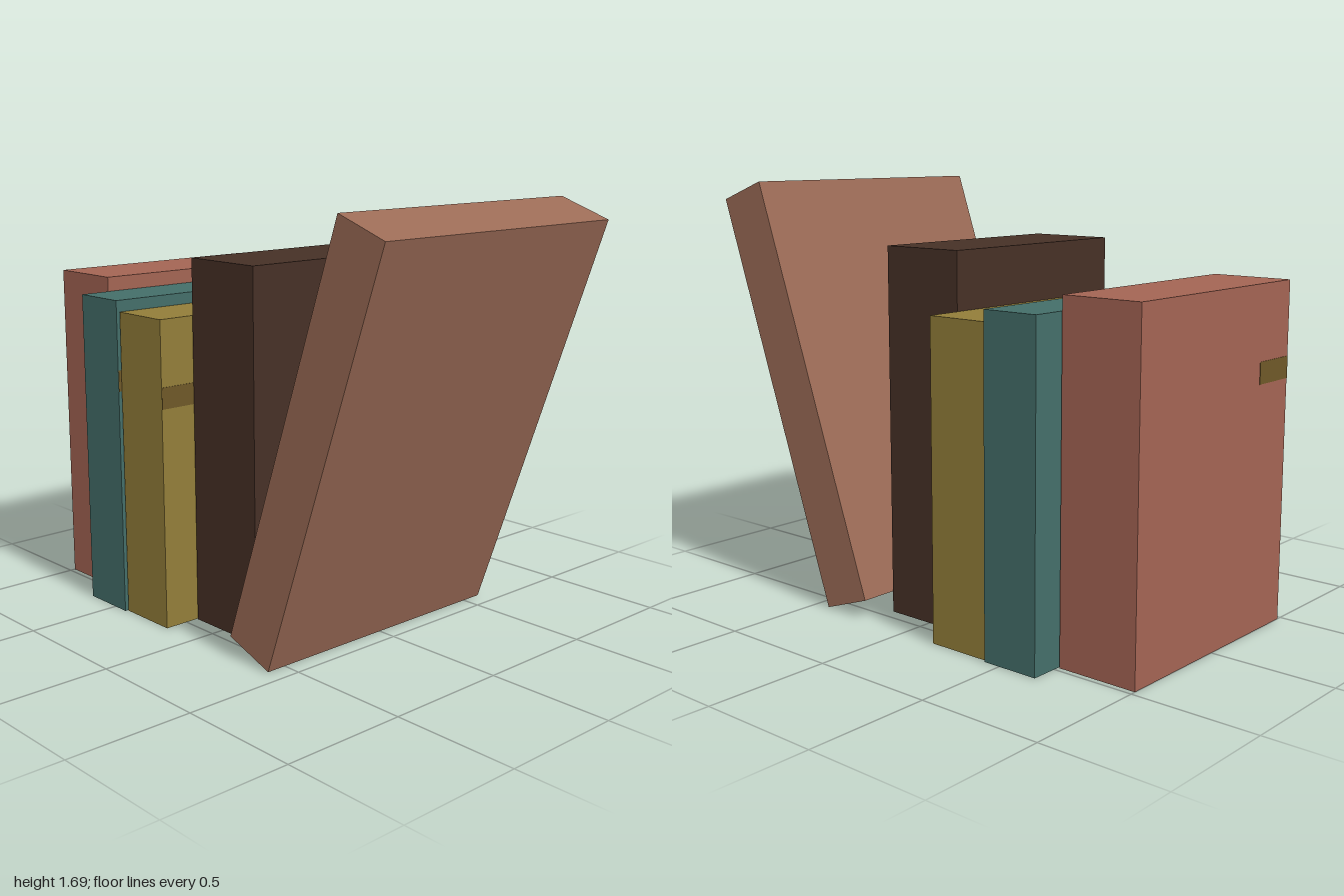
import * as THREE from 'three';

function box(name, w, h, d, x, y, z, color) {
  const mesh = new THREE.Mesh(
    new THREE.BoxGeometry(w, h, d),
    new THREE.MeshStandardMaterial({ color })
  );
  mesh.name = name;
  mesh.position.set(x, y, z);
  return mesh;
}

export function createModel() {
  const group = new THREE.Group();
  group.name = 'bookRow';

  // Upright books: x range, height, depth, colour, optional spine band [y0, y1, zBack]
  const books = [
    { name: 'redBook', x0: -1, x1: -0.672, h: 1.334, d: 0.957, color: 0xa36453, band: [0.96, 1.045, 0.28] },
    { name: 'tealBook', x0: -0.665, x1: -0.43, h: 1.277, d: 1.217, color: 0x446e69, band: [0.915, 1.0, 0.36] },
    { name: 'yellowBook', x0: -0.424, x1: -0.164, h: 1.232, d: 1.194, color: 0x927d39, band: [0.885, 0.97, 0.36] },
    { name: 'darkBook', x0: -0.158, x1: 0.2, h: 1.454, d: 0.894, color: 0x463026 },
  ];
  for (const { name, x0, x1, h, d, color, band } of books) {
    const x = (x0 + x1) / 2, w = x1 - x0;
    group.add(box(name, w, h, d, x, h / 2, 0, color));
    if (band) {
      // Thin band around the spine, slightly proud of the covers
      const [y0, y1, zBack] = band;
      const zFront = d / 2 - 0.001;
      group.add(box(name + 'Band', w + 0.004, y1 - y0, zFront - zBack,
        x, (y0 + y1) / 2, (zBack + zFront) / 2, 0x6e5828));
    }
  }

  // Book tipped outward, standing on its lower edge
  const leaning = box('leaningBook', 0.227, 1.705, 1.17, 0.605, 0.844, 0, 0x9b6b56);
  leaning.rotation.z = -THREE.MathUtils.degToRad(19.4);
  group.add(leaning);

  return group;
}
